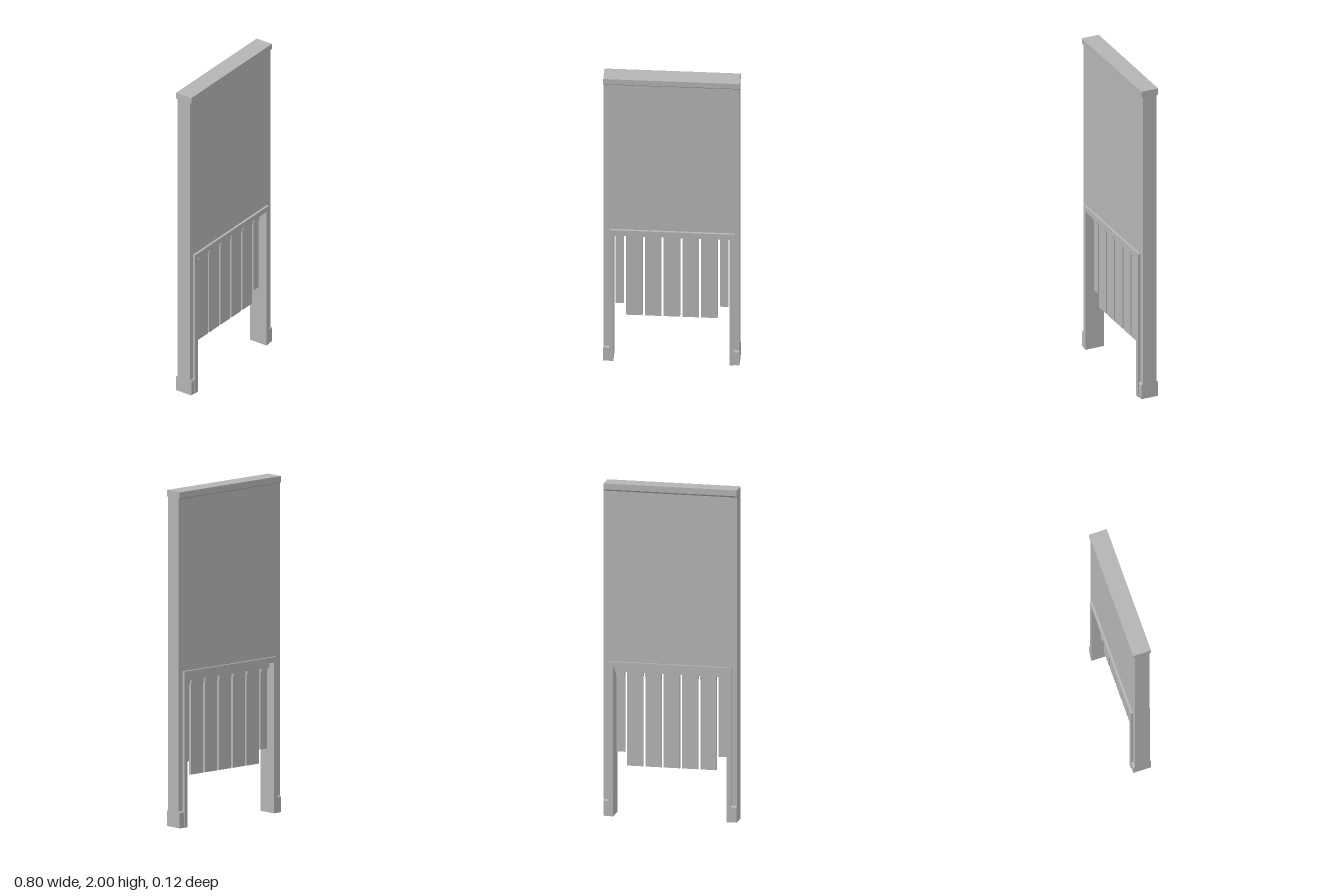
import * as THREE from 'three';

export function createModel() {
  const group = new THREE.Group();
  const grey = new THREE.MeshStandardMaterial({ color: 0xb4b4b4 });
  grey.name = 'grey';

  const add = (name, geometry) => {
    const mesh = new THREE.Mesh(geometry, grey);
    mesh.name = name;
    group.add(mesh);
    return mesh;
  };

  // box given by its x range, y range and half depth
  const slab = (name, x0, x1, y0, y1, halfDepth) =>
    add(name, new THREE.BoxGeometry(x1 - x0, y1 - y0, halfDepth * 2)
      .translate((x0 + x1) / 2, (y0 + y1) / 2, 0));

  // extrude a flat outline of [x, y] points, centred in depth
  const extrude = (points, depth) =>
    new THREE.ExtrudeGeometry(
      new THREE.Shape(points.map(([x, y]) => new THREE.Vector2(x, y))),
      { depth, bevelEnabled: false }).translate(0, 0, -depth / 2);

  // doorway outline shared by the wall and its casing
  const arch = (outer, inner, top, innerTop) => [
    [-outer, 0], [-inner, 0], [-inner, innerTop], [inner, innerTop],
    [inner, 0], [outer, 0], [outer, top], [-outer, top],
  ];
  add('wall', extrude(arch(0.4, 0.342, 1.96, 0.9), 0.09));
  add('doorCasing', extrude(arch(0.367, 0.34, 0.93, 0.898), 0.118));

  // profile in depth and height, run along x
  const moulding = (name, profile, x0, x1) =>
    add(name, extrude(profile, x1 - x0).rotateY(Math.PI / 2)
      .translate((x0 + x1) / 2, 0, 0));

  // chamfered top moulding and skirting blocks
  moulding('topMoulding', [
    [-0.045, 1.955], [0.045, 1.955], [0.055, 1.965],
    [0.055, 2], [-0.055, 2], [-0.055, 1.965]], -0.4, 0.4);
  const skirting = [
    [-0.055, 0], [0.055, 0], [0.055, 0.09],
    [0.045, 0.1], [-0.045, 0.1], [-0.055, 0.09]];
  moulding('rightSkirting', skirting, -0.4, -0.345);
  moulding('leftSkirting', skirting, 0.345, 0.4);

  // rail carrying the hanging strips
  slab('curtainRail', -0.342, 0.342, 0.864, 0.9, 0.02);

  // hanging strips, each with a thicker clamp at its top
  const strip = (x0, x1, bottom) => {
    slab('strip', x0, x1, bottom, 0.84, 0.008);
    slab('stripClamp', x0, x1, 0.838, 0.866, 0.014);
  };
  for (let i = -2; i <= 2; i++) strip(i * 0.11 - 0.048, i * 0.11 + 0.048, 0.298);
  strip(-0.332, -0.282, 0.38);
  strip(0.282, 0.332, 0.38);

  return group;
}
